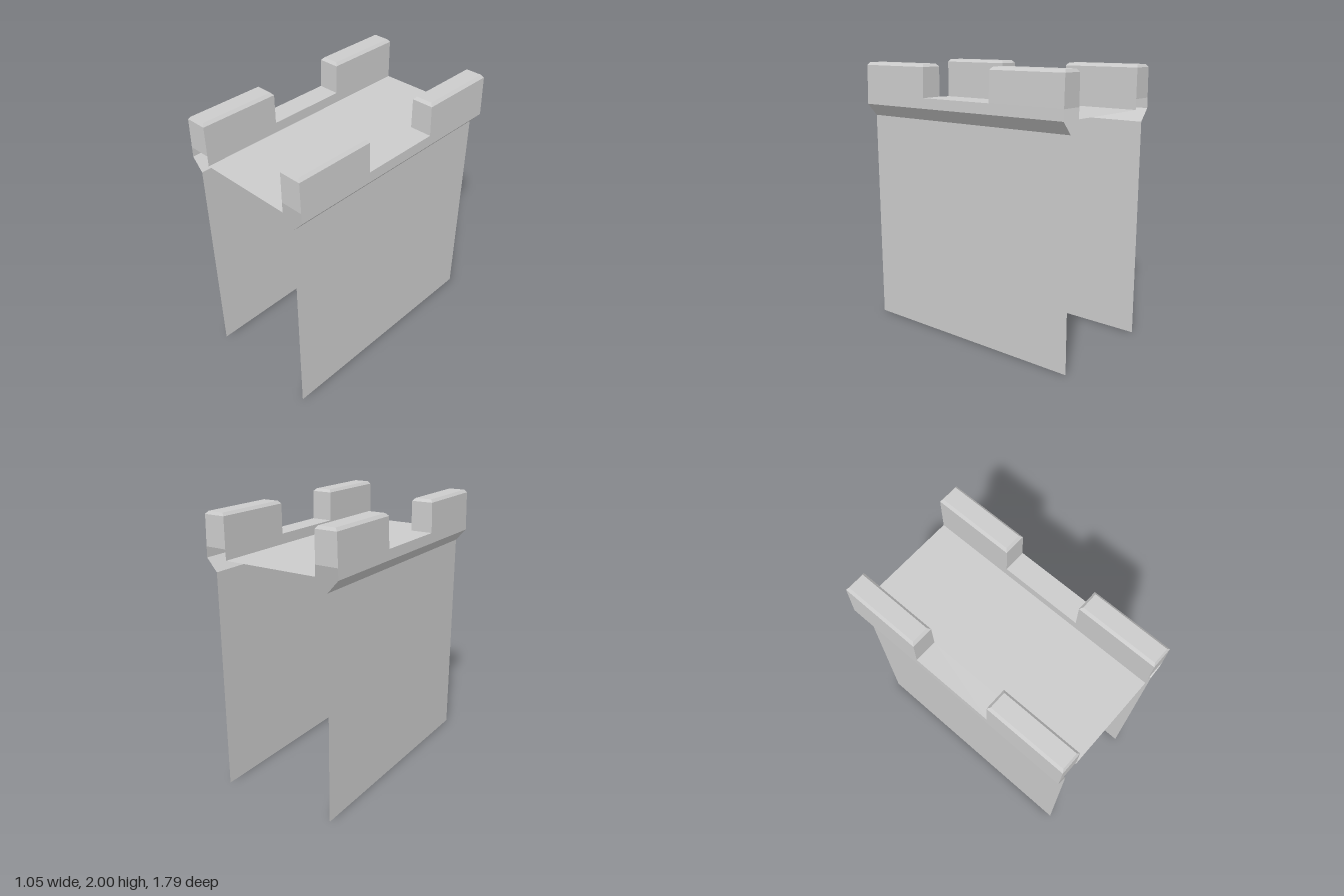
import * as THREE from 'three';

const DEPTH = 0.895;   // half length along z
const WALL_X = 0.445;  // side sheets
const OUT_X = 0.522;   // outer face of the rails
const IN_X = 0.357;    // inner face of the rails
const FLOOR_Y = 1.69;
const RAIL_Y = 1.765;  // height of the rail between the end blocks

const material = new THREE.MeshStandardMaterial({
  color: 0xcccccc, flatShading: true, side: THREE.DoubleSide,
});

// Mesh from a list of quads, each four corners counter-clockwise from outside
function quadMesh(name, quads) {
  const positions = quads.flatMap(([a, b, c, d]) => [a, b, c, a, c, d].flat());
  const geometry = new THREE.BufferGeometry();
  geometry.setAttribute('position', new THREE.Float32BufferAttribute(positions, 3));
  geometry.computeVertexNormals();
  const mesh = new THREE.Mesh(geometry, material);
  mesh.name = name;
  return mesh;
}

// Open sheet: an x/y profile swept along z, mirrored in x when side is -1
function sheet(name, profile, side = 1, halfLength = DEPTH) {
  const pts = profile.map(([x, y]) => [x * side, y]);
  if (side < 0) pts.reverse();
  const quads = pts.slice(1).map((q, i) => {
    const p = pts[i];
    return [[...p, -halfLength], [...q, -halfLength], [...q, halfLength], [...p, halfLength]];
  });
  return quadMesh(name, quads);
}

// Hollow bevelled block, open underneath, from stacked rectangular sections
function endBlock(name, sideX, sideZ) {
  // y, inner x, outer x, inner z, outer z
  const sections = [
    [RAIL_Y, IN_X, OUT_X, 0.302, DEPTH],
    [1.98, IN_X, 0.516, 0.302, DEPTH],
    [2, 0.375, 0.497, 0.32, 0.882],
  ];
  const loops = sections.map(([y, x0, x1, z0, z1]) => {
    const loop = [[x0, z0], [x0, z1], [x1, z1], [x1, z0]]
      .map(([x, z]) => [x * sideX, y, z * sideZ]);
    return sideX * sideZ < 0 ? loop.reverse() : loop;
  });
  const quads = [loops[2]];
  for (let k = 0; k < 2; k++) {
    for (let i = 0; i < 4; i++) {
      const j = (i + 1) % 4;
      quads.push([loops[k][i], loops[k][j], loops[k + 1][j], loops[k + 1][i]]);
    }
  }
  return quadMesh(name, quads);
}

export function createModel() {
  const group = new THREE.Group();
  group.name = 'channelSection';

  // Flat deck between the rails
  group.add(sheet('deck', [[IN_X, FLOOR_Y], [-IN_X, FLOOR_Y]]));

  for (const side of [1, -1]) {
    const label = side > 0 ? 'left' : 'right';
    // Tall thin wall
    group.add(sheet(label + 'Wall', [[WALL_X, 0], [WALL_X, 1.6]], side));
    // Sloped ledge and outer face of the hollow rail
    group.add(sheet(label + 'RailOuter',
      [[WALL_X, 1.6], [0.524, FLOOR_Y], [OUT_X, RAIL_Y]], side));
    // Inner face of the rail
    group.add(sheet(label + 'RailInner', [[IN_X, RAIL_Y], [IN_X, FLOOR_Y]], side));
    // Low top of the rail between the blocks
    group.add(sheet(label + 'RailTop', [[OUT_X, RAIL_Y], [IN_X, RAIL_Y]], side, 0.302));
    // Raised blocks at both ends
    group.add(endBlock(label + 'FrontBlock', side, 1));
    group.add(endBlock(label + 'BackBlock', side, -1));
  }
  return group;
}
